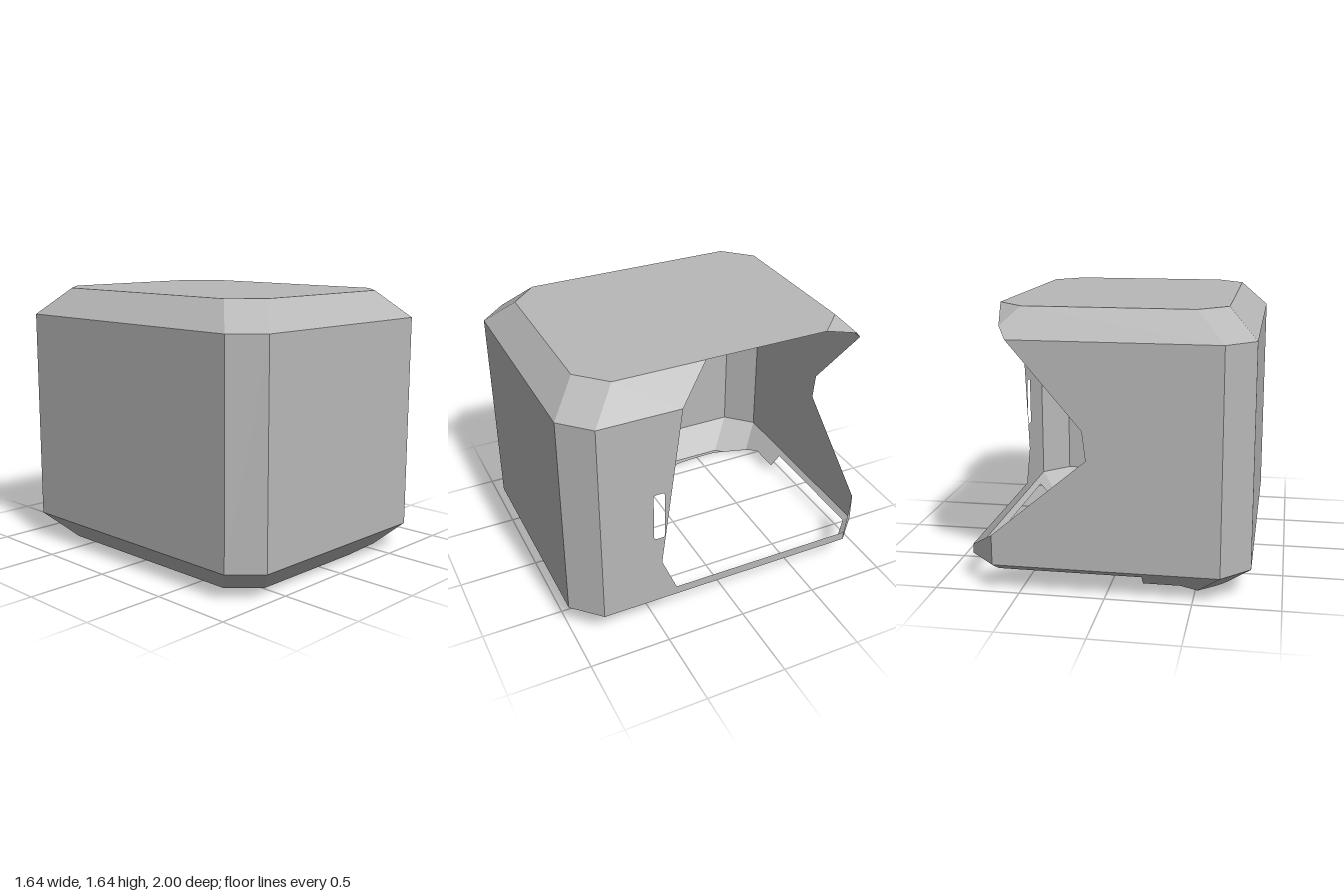
import * as THREE from 'three';

// Overall size of the chamfered shell: half width, half depth, height, chamfer
const W = 0.82, D = 1, H = 1.64, B = 0.165, T = H - B;

// How far the walls lean in at height y (only in the two bevel bands)
const inset = (y) => Math.max(B - y, y - T, 0);

// Each mapping lifts a flat 2D outline onto one side of the shell
const front = (s) => (x, y) => [x, y, s * (D - inset(y))];
const side = (s) => (z, y) => [s * (W - inset(y)), y, z];
const corner = (s) => (x, y) => [x, y, s * (W + D - B - 2 * inset(y) - Math.abs(x))];
const level = (y) => (x, z) => [x, y, z];

const mirrorX = (pts) => pts.map(([x, y]) => [-x, y]);

export function createModel() {
  const group = new THREE.Group();
  const grey = new THREE.MeshStandardMaterial({ color: 0xb8b8b8, side: THREE.DoubleSide });
  grey.name = 'plain grey';

  // Thin flat panel with its faces turned outward
  function panel(name, map, outline, hole) {
    const shape = new THREE.Shape(outline.map(([u, v]) => new THREE.Vector2(u, v)));
    if (hole) shape.holes.push(hole);
    const geo = new THREE.ShapeGeometry(shape, 4);
    const pos = geo.attributes.position;
    for (let i = 0; i < pos.count; i++) pos.setXYZ(i, ...map(pos.getX(i), pos.getY(i)));
    geo.computeVertexNormals();
    const n = new THREE.Vector3().fromBufferAttribute(geo.attributes.normal, 0);
    const p = new THREE.Vector3().fromBufferAttribute(pos, 0).sub(new THREE.Vector3(0, H / 2, 0));
    if (n.dot(p) < 0) {
      geo.index.array.reverse();
      geo.computeVertexNormals();
    }
    const mesh = new THREE.Mesh(geo, grey);
    mesh.name = name;
    group.add(mesh);
  }

  const x1 = W - B, x2 = W - 2 * B, z1 = D - B, z2 = D - 2 * B;

  // Rounded slot beside the side opening
  const slot = new THREE.Path();
  const [a, b, c, d, r] = [0.44, 0.51, 0.635, 0.95, 0.018];
  slot.moveTo(a + r, c);
  slot.lineTo(b - r, c);
  slot.quadraticCurveTo(b, c, b, c + r);
  slot.lineTo(b, d - r);
  slot.quadraticCurveTo(b, d, b - r, d);
  slot.lineTo(a + r, d);
  slot.quadraticCurveTo(a, d, a, d - r);
  slot.lineTo(a, c + r);
  slot.quadraticCurveTo(a, c, a + r, c);

  // Upright walls
  panel('frontWall', front(1), [[-x1, B], [x1, B], [x1, T], [-x1, T]]);
  panel('rightHandWall', side(-1), [[-z1, B], [z1, B], [z1, T], [-z1, T]]);
  panel('cutSideWall', side(1), [[z1, B], [z1, T], [0.33, T], [0.46, 0.45], [0.365, 0.22], [-z1, 0.22], [-z1, B]], slot);
  panel('cutBackWall', front(-1), [[-x1, B], [x1, B], [x1, 0.345], [0.1, 0.81], [0.12, 0.98], [0.54, T], [-x1, T]]);

  // Upright corner chamfers
  const post = [[x1, B], [W, B], [W, T], [x1, T]];
  panel('frontLeftChamfer', corner(1), post);
  panel('frontRightChamfer', corner(1), mirrorX(post));
  panel('backRightChamfer', corner(-1), mirrorX(post));
  panel('backLeftChamferStub', corner(-1), [[x1, B], [W, B], [W, 0.22], [x1, 0.345]]);

  // Roof and its bevels
  panel('roof', level(H), [[x1, z2], [x2, z1], [-x2, z1], [-x1, z2], [-x1, -z2], [-x2, -z1], [x2, -z1], [x1, -z2]]);
  panel('frontRoofBevel', front(1), [[-x1, T], [x1, T], [x2, H], [-x2, H]]);
  panel('rightRoofBevel', side(-1), [[-z1, T], [z1, T], [z2, H], [-z2, H]]);
  panel('leftRoofBevel', side(1), [[z1, T], [0.33, T], [0.11, H], [z2, H]]);
  panel('backRoofBevel', front(-1), [[-x1, T], [0.54, T], [0.59, 1.54], [x2, H], [-x2, H]]);
  const roofCorner = [[x1, T], [W, T], [x1, H], [x2, H]];
  panel('frontLeftRoofCorner', corner(1), roofCorner);
  panel('frontRightRoofCorner', corner(1), mirrorX(roofCorner));
  panel('backRightRoofCorner', corner(-1), mirrorX(roofCorner));
  panel('backLeftRoofCorner', corner(-1), [[x2, H], [x1, H], [0.59, 1.54]]);

  // Lower bevels, narrowed to a thin lip around the open sides
  panel('frontFloorBevel', front(1), [[-x1, B], [x1, B], [0.52, 0.03], [0.3, 0], [-x2, 0]]);
  panel('rightFloorBevel', side(-1), [[-z1, B], [z1, B], [z2, 0], [-z2, 0]]);
  panel('leftFloorLip', side(1), [[z1, B], [0.74, 0.07], [0.62, 0.07], [0.62, 0.135], [-0.805, 0.135], [-z1, B]]);
  panel('backFloorLip', front(-1), [[x1, B], [0.625, 0.135], [-0.21, 0.135], [-0.21, 0.07], [-0.425, 0.07], [-0.52, 0.03], [-x1, B]]);
  panel('frontRightFloorCorner', corner(1), [[-x1, B], [-x2, 0], [-x1, 0], [-W, B]]);
  panel('frontLeftFloorCorner', corner(1), [[x1, B], [0.52, 0.03], [0.63, 0.07], [0.725, 0.07], [W, B]]);
  panel('backLeftFloorLip', corner(-1), [[W, B], [0.79, 0.135], [0.625, 0.135], [x1, B]]);
  panel('backRightFloorCorner', corner(-1), [[-x1, B], [-0.52, 0.03], [-0.61, 0], [-x1, 0], [-W, B]]);

  // Remaining floor, bounded by a curved cut
  const cut = new THREE.SplineCurve([
    [-0.61, -0.715], [-0.63, -0.6], [-0.61, -0.3], [-0.53, 0], [-0.28, 0.39], [0, 0.65], [0.3, z1],
  ].map(([x, z]) => new THREE.Vector2(x, z)));
  const curve = cut.getPoints(30).map((p) => [p.x, p.y]);
  panel('floor', level(0), [[-x2, z1], [-x1, z2], [-x1, -z2], ...curve]);

  return group;
}
